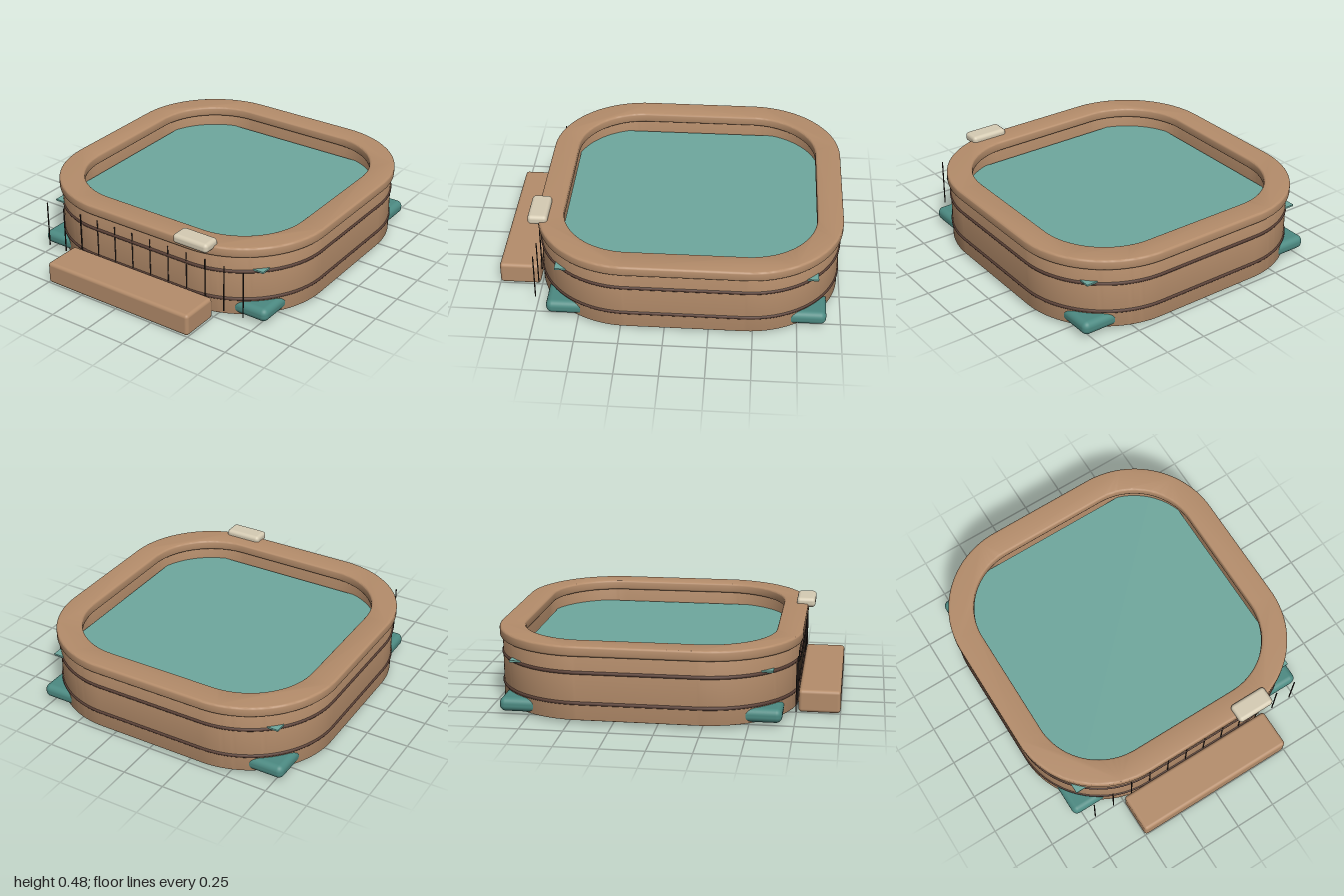
import * as THREE from 'three';
import { toCreasedNormals } from 'three/addons/utils/BufferGeometryUtils.js';
import { RoundedBoxGeometry } from 'three/addons/geometries/RoundedBoxGeometry.js';

const CENTER_Z = -0.115; // middle of the tub
const CORNER = 0.335;    // distance from the tub middle to each corner arc's centre

const mat = (color) => new THREE.MeshStandardMaterial({ color });
const wood = mat(0xb58d6b);
const darkBand = mat(0x5c4238);
const teal = mat(0x4c8a82);
const waterTeal = mat(0x6fa89e);
const cream = mat(0xd6ccb4);
const black = mat(0x2a211d);

// Rounded square outline; all outlines share corner centres, so they are offsets of each other
function outline(half, PathType = THREE.Shape) {
  const path = new PathType();
  const r = half - CORNER;
  const corners = [[1, 1], [-1, 1], [-1, -1], [1, -1]];
  corners.forEach(([x, y], i) => {
    path.absarc(x * CORNER, y * CORNER, r, i * Math.PI / 2, (i + 1) * Math.PI / 2, false);
  });
  path.closePath();
  return path;
}

// Upright rounded-square ring between two heights
function ring(outer, inner, y0, y1, bevel) {
  const shape = outline(outer);
  shape.holes.push(outline(inner, THREE.Path));
  const geo = new THREE.ExtrudeGeometry(shape, {
    depth: y1 - y0 - 2 * bevel,
    curveSegments: 20,
    bevelEnabled: bevel > 0,
    bevelThickness: bevel,
    bevelSize: bevel,
    bevelOffset: -bevel,
    bevelSegments: 3,
  });
  geo.rotateX(-Math.PI / 2);
  geo.translate(0, y0 + bevel, CENTER_Z);
  return toCreasedNormals(geo, 0.6);
}

// Round hoop following the tub wall
function hoop(half, y, radius) {
  const points = outline(half).getSpacedPoints(96).slice(0, -1)
    .map((p) => new THREE.Vector3(p.x, y, CENTER_Z - p.y));
  return new THREE.TubeGeometry(new THREE.CatmullRomCurve3(points, true), 160, radius, 10, true);
}

// Box given by its low and high corners, rounded when r > 0
function box([x0, y0, z0], [x1, y1, z1], r = 0) {
  const size = [x1 - x0, y1 - y0, z1 - z0];
  const geo = r > 0 ? new RoundedBoxGeometry(...size, 4, r) : new THREE.BoxGeometry(...size);
  return geo.translate((x0 + x1) / 2, (y0 + y1) / 2, (z0 + z1) / 2);
}

export function createModel() {
  const model = new THREE.Group();
  model.name = 'hotTub';
  const add = (name, geometry, material, parent = model) => {
    const mesh = new THREE.Mesh(geometry, material);
    mesh.name = name;
    parent.add(mesh);
  };

  // Wall, rim and hoops
  add('tubWall', ring(0.87, 0.765, 0.02, 0.395, 0.004), wood);
  add('rim', ring(0.887, 0.735, 0.39, 0.45, 0.012), wood);
  add('lowerHoop', hoop(0.865, 0.119, 0.012), darkBand);
  add('upperHoop', hoop(0.865, 0.296, 0.012), darkBand);

  // Square floor slab and water sheet, their corners poking through the rounded wall
  add('floorSlab', box([-0.8, 0.024, CENTER_Z - 0.8], [0.8, 0.105, CENTER_Z + 0.8], 0.035), teal);
  add('water', box([-0.745, 0.303, CENTER_Z - 0.745], [0.745, 0.313, CENTER_Z + 0.745]), waterTeal);

  // Front step and headrest
  add('step', box([-0.5, 0, 0.76], [0.5, 0.132, 1], 0.02), wood);
  add('headrest', box([0.265, 0.427, 0.7], [0.497, 0.484, 0.815], 0.022), cream);

  // Thin plank seams along the front
  const seams = new THREE.Group();
  seams.name = 'plankSeams';
  model.add(seams);
  for (let i = 0; i < 12; i++) {
    const x = -0.7 + (i * 1.4) / 11;
    add('plankSeam', box([x - 0.0025, 0.07, 0.753], [x + 0.0025, 0.355, 0.759]), black, seams);
  }

  return model;
}
